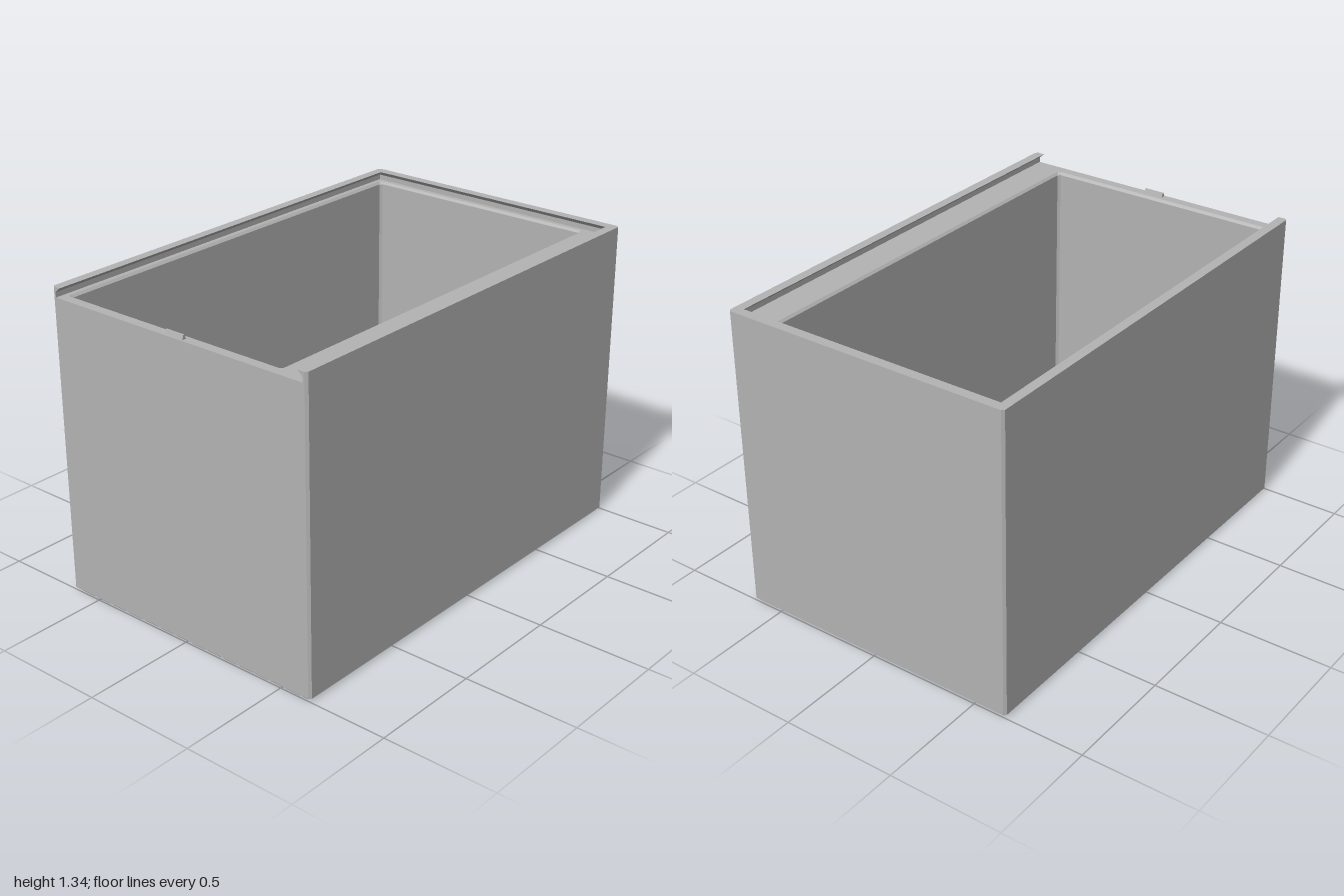
import * as THREE from 'three';

const H = 1.34, SHELF = 1.297;      // rim height, level of the lid slot
const X = 0.648, Z = 1, C = 0.01;   // outer half sizes, edge chamfer

// Rectangle loop with cut corners at height y, anticlockwise from above
function loop(x0, x1, z0, z1, c, y) {
  return [
    [x1, z1 - c], [x1, z0 + c], [x1 - c, z0], [x0 + c, z0],
    [x0, z0 + c], [x0, z1 - c], [x0 + c, z1], [x1 - c, z1],
  ].map(([x, z]) => new THREE.Vector3(x, y, z));
}

// All corners of a loop gathered at one point, to close a loft
function point(x, y, z) {
  return Array.from({ length: 8 }, () => new THREE.Vector3(x, y, z));
}

function addTriangle(out, a, b, c) {
  const area = b.clone().sub(a).cross(c.clone().sub(a)).length();
  if (area > 1e-8) out.push(...a.toArray(), ...b.toArray(), ...c.toArray());
}

// Skin between successive rows of points
function loft(rows, closed = true, out = []) {
  for (let i = 0; i + 1 < rows.length; i++) {
    const n = rows[i].length;
    for (let j = 0; j < (closed ? n : n - 1); j++) {
      const k = (j + 1) % n;
      addTriangle(out, rows[i][j], rows[i][k], rows[i + 1][k]);
      addTriangle(out, rows[i][j], rows[i + 1][k], rows[i + 1][j]);
    }
  }
  return out;
}

function makeMesh(name, positions, material) {
  const g = new THREE.BufferGeometry();
  g.setAttribute('position', new THREE.Float32BufferAttribute(positions, 3));
  g.computeVertexNormals();
  const mesh = new THREE.Mesh(g, material);
  mesh.name = name;
  return mesh;
}

export function createModel() {
  const group = new THREE.Group();
  group.name = 'slidingLidBox';
  const grey = new THREE.MeshStandardMaterial({ color: 0xb3b3b3 });
  grey.name = 'grey';

  // Body: underside, outer walls, shelf, bevelled cavity and floor
  const floor = 0.045;
  group.add(makeMesh('body', loft([
    point(0, 0, 0),
    loop(-X + C, X - C, -Z + C, Z - C, C, 0),
    loop(-X, X, -Z, Z, C, C),
    loop(-X, X, -Z, Z, C, SHELF),
    loop(-0.609, 0.495, -0.96, 0.957, C, SHELF),
    loop(-0.599, 0.485, -0.95, 0.945, C, SHELF - C),
    loop(-0.599, 0.485, -0.95, 0.945, C, floor),
    point(-0.057, floor, 0),
  ]), grey));

  // Rim: undercut lid groove around the back and both sides, open at the front
  const side = [
    { outer: [X - C, Z], base: [0.63, Z], lip: [0.606, Z] },
    { outer: [X, Z - C], base: [0.63, Z - C], lip: [0.606, Z - C] },
    { outer: [X, -Z + C], base: [0.63, -0.98], lip: [0.606, -0.957] },
    { outer: [X - C, -Z], base: [0.63, -0.98], lip: [0.606, -0.957] },
  ];
  const mirrorPoint = ([x, z]) => [-x, z];
  const stations = [...side, ...side.slice().reverse().map((s) => ({
    outer: mirrorPoint(s.outer), base: mirrorPoint(s.base), lip: mirrorPoint(s.lip),
  }))];
  const rows = [
    ['outer', SHELF], ['outer', H], ['lip', H], ['base', 1.319], ['base', SHELF],
  ].map(([key, y]) => stations.map((s) => new THREE.Vector3(s[key][0], y, s[key][1])));
  const rim = loft(rows, false);

  // Front ends of the rim
  const last = stations.length - 1;
  for (const i of [4, 0, 1]) {
    const j = (i + 1) % 5;
    addTriangle(rim, rows[3][0], rows[i][0], rows[j][0]);
    addTriangle(rim, rows[3][last], rows[j][last], rows[i][last]);
  }
  group.add(makeMesh('lidRim', rim, grey));

  // Small catch on the front wall that holds the lid
  group.add(makeMesh('lidCatch', loft([
    loop(-0.045, 0.045, 0.975, 0.993, 0, SHELF),
    loop(-0.045, 0.045, 0.98, 0.988, 0, 1.315),
    point(0, 1.315, 0.984),
  ]), grey));

  return group;
}
